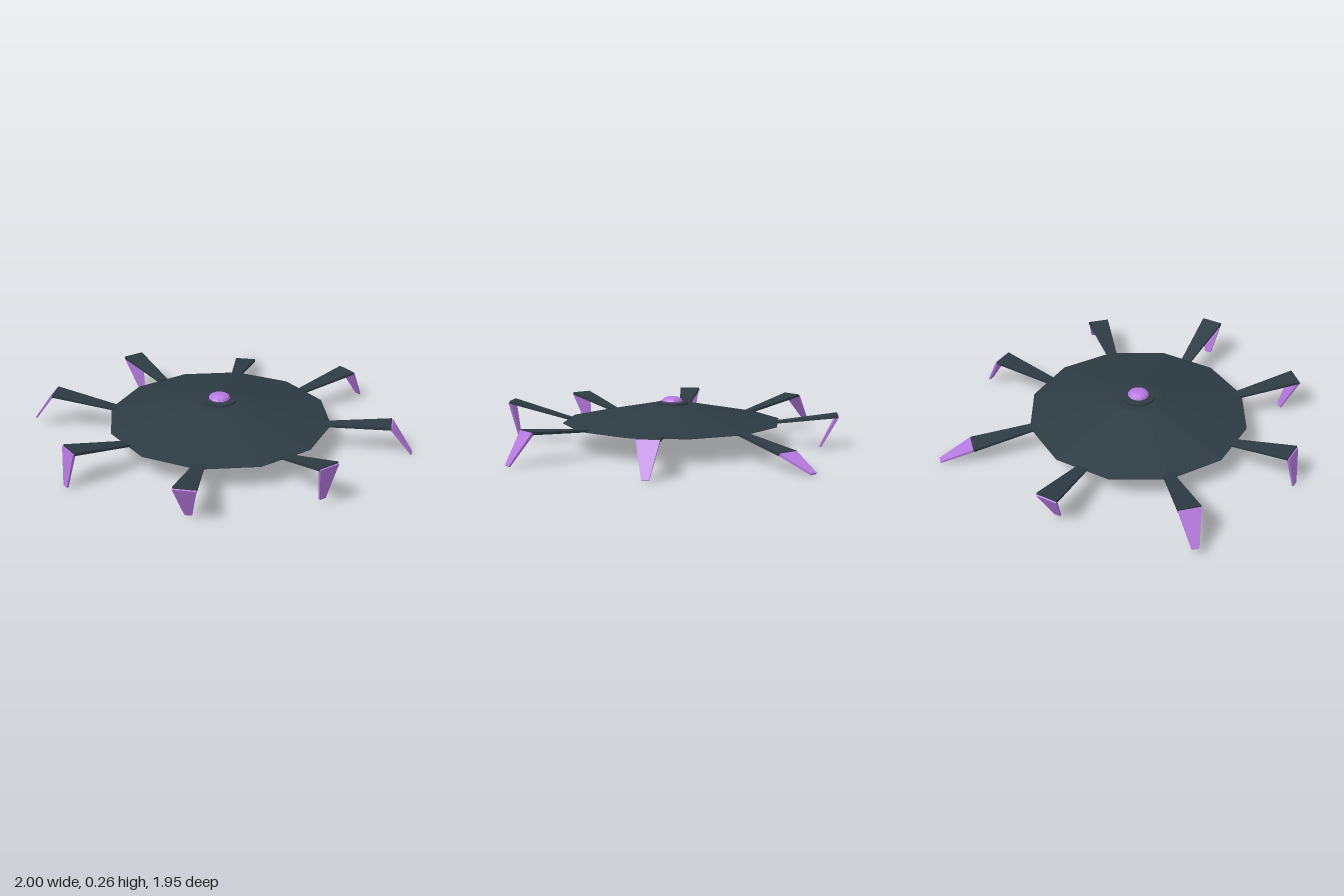
import * as THREE from 'three';

const slate = new THREE.MeshStandardMaterial({ color: 0x2d3b42, flatShading: true });
slate.name = 'dark slate';
const purple = new THREE.MeshStandardMaterial({ color: 0xb578de, flatShading: true });
purple.name = 'orchid purple';

function add(parent, name, geometry, material) {
  const mesh = new THREE.Mesh(geometry, material);
  mesh.name = name;
  parent.add(mesh);
  return mesh;
}

function lathe(points, sides) {
  return new THREE.LatheGeometry(points.map(([r, y]) => new THREE.Vector2(r, y)), sides);
}

// Tapered bar between two [radius, height] points; each end is [half width, thickness]
function taperedBar(a, b, endA, endB) {
  const geometry = new THREE.BoxGeometry(1, 1, 1);
  const p = geometry.attributes.position;
  const length = Math.hypot(b[0] - a[0], b[1] - a[1]);
  const dx = (b[0] - a[0]) / length, dy = (b[1] - a[1]) / length;
  for (let i = 0; i < p.count; i++) {
    const atB = p.getX(i) > 0;
    const base = atB ? b : a;
    const [halfWidth, thickness] = atB ? endB : endA;
    const offset = p.getY(i) * thickness;
    p.setXYZ(i, base[0] - dy * offset, base[1] + dx * offset, p.getZ(i) * 2 * halfWidth);
  }
  geometry.computeVertexNormals();
  return geometry;
}

export function createModel() {
  const model = new THREE.Group();
  model.name = 'leggedDisc';
  const centre = new THREE.Group();
  centre.name = 'centre';
  centre.position.z = 0.08;
  model.add(centre);

  // Shallow twelve-sided shell with a flat underside
  add(centre, 'shell', lathe([[0, 0.131], [0.58, 0.131], [0.58, 0.134], [0.13, 0.222], [0, 0.226]], 12), slate);

  // Collar and eye on top
  add(centre, 'collar', lathe([[0.085, 0.215], [0.085, 0.233], [0, 0.233]], 16), slate);
  add(centre, 'eye', lathe([[0.045, 0.23], [0.056, 0.241], [0.05, 0.252], [0.03, 0.262], [0, 0.264]], 12), purple);

  // Legs, counter-clockwise seen from above: [name, knee radius, knee height, tip radius, tip height]
  const legs = [
    ['left', 0.885, 0.162, 0.995, 0.009],
    ['backLeft', 0.872, 0.178, 0.965, 0.014],
    ['back', 0.885, 0.085, 1.055, 0.015],
    ['backRight', 0.872, 0.178, 0.785, 0.009],
    ['right', 0.885, 0.202, 0.995, 0.05],
    ['frontRight', 0.872, 0.197, 0.9, 0.01],
    ['front', 0.885, 0.195, 0.807, 0.02],
    ['frontLeft', 0.872, 0.226, 0.835, 0.04],
  ];
  legs.forEach(([name, kneeR, kneeY, tipR, tipY], i) => {
    const leg = new THREE.Group();
    leg.name = name + 'Leg';
    leg.rotation.y = i * Math.PI / 4;
    centre.add(leg);
    add(leg, name + 'UpperLeg', taperedBar([0.55, 0.136], [kneeR, kneeY], [0.027, 0.011], [0.057, 0.015]), slate);
    add(leg, name + 'Claw', taperedBar([kneeR, kneeY], [tipR, tipY], [0.056, 0.014], [0.018, 0.009]), purple);
  });

  return model;
}
